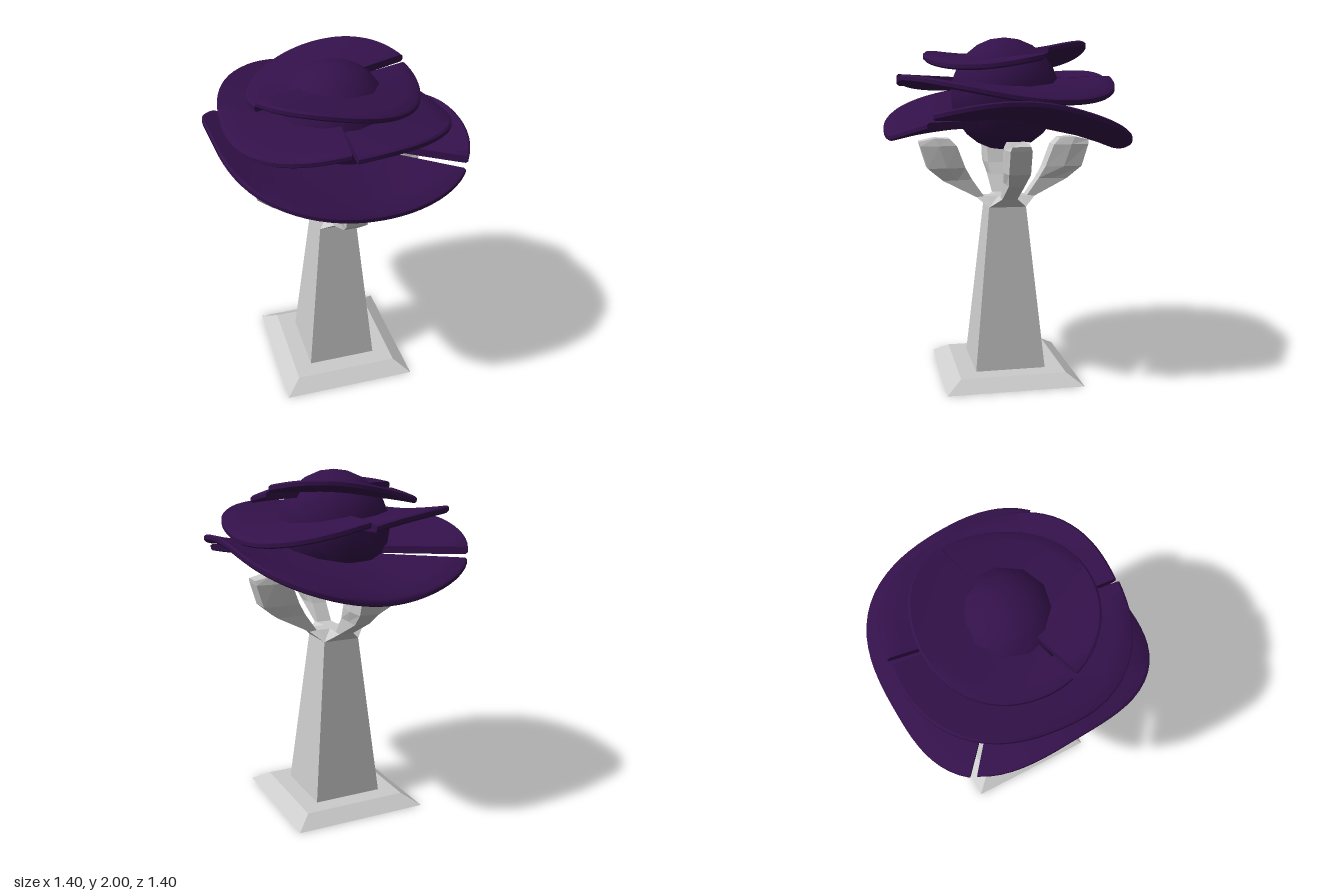
import * as THREE from 'three';
import { toCreasedNormals } from 'three/addons/utils/BufferGeometryUtils.js';

const grey = new THREE.MeshStandardMaterial({ color: 0xcccccc, flatShading: true });
const purple = new THREE.MeshStandardMaterial({ color: 0x33114a, side: THREE.DoubleSide });

function add(parent, name, geometry, material) {
  const mesh = new THREE.Mesh(geometry, material);
  mesh.name = name;
  parent.add(mesh);
  return mesh;
}

// Skin a row of equal cross-section loops and cap both ends
function loft(sections) {
  const n = sections[0].length;
  const index = [];
  for (let i = 0; i < sections.length - 1; i++) {
    for (let j = 0; j < n; j++) {
      const a = i * n + j, b = i * n + (j + 1) % n;
      index.push(a, b, b + n, a, b + n, a + n);
    }
  }
  const last = (sections.length - 1) * n;
  for (let j = 1; j < n - 1; j++) {
    index.push(0, j + 1, j, last, last + j, last + j + 1);
  }
  const geometry = new THREE.BufferGeometry();
  geometry.setAttribute('position', new THREE.Float32BufferAttribute(sections.flat(2), 3));
  geometry.setIndex(index);
  return geometry;
}

// Square block that tapers from half-width `low` to `high`
function taper(low, high, y0, y1) {
  const k = Math.SQRT2;
  return new THREE.CylinderGeometry(high * k, low * k, y1 - y0, 4)
    .rotateY(Math.PI / 4).translate(0, (y0 + y1) / 2, 0);
}

// Spoon-shaped arm: [inner x, y, half-width, outer x, y, half-width]
function armGeometry() {
  const stations = [
    [0.00, 1.08, 0.045, 0.00, 1.02, 0.11],
    [0.10, 1.08, 0.045, 0.11, 1.02, 0.11],
    [0.13, 1.08, 0.045, 0.175, 1.075, 0.045],
    [0.20, 1.18, 0.045, 0.37, 1.175, 0.045],
    [0.24, 1.25, 0.055, 0.46, 1.25, 0.06],
    [0.29, 1.38, 0.06, 0.50, 1.38, 0.06],
    [0.33, 1.42, 0.05, 0.505, 1.405, 0.05],
  ];
  return loft(stations.map(([xi, yi, wi, xo, yo, wo], i) => {
    const xm = (xi + xo) / 2, wm = (wi + wo) / 2 * (i > 3 ? 1.17 : 1);
    const ym = (yi + yo) / 2 + (i === 6 ? 0.012 : 0);
    return [[xi, yi, -wi], [xi, yi, wi], [xm, ym, wm], [xo, yo, wo], [xo, yo, -wo], [xm, ym, -wm]];
  }));
}

// Half of a wavy brim; its two halves meet at a stepped slit
function petalGeometry({ radius, power, twist, y, wave, crest, tiltX, tiltZ, slit, step }, half) {
  const sections = [], count = 40, gap = 0.025, t = 0.02;
  for (let i = 0; i <= count; i++) {
    const u = i / count;
    const a = slit + half * Math.PI + gap + u * (Math.PI - 2 * gap);
    const c = Math.cos(a), s = Math.sin(a);
    const rim = radius / Math.pow(
      Math.abs(Math.cos(a - twist)) ** power + Math.abs(Math.sin(a - twist)) ** power, 1 / power);
    const point = (r, dy) => {
      const f = r / rim;
      const h = y + f * f * wave * Math.cos(2 * (a - crest))
        + f * (tiltX * c + tiltZ * s) + step * (u - 0.5);
      return [r * c, h + dy, r * s];
    };
    const radii = [rim - 0.012, rim * 0.85, rim * 0.65, 0.2];
    sections.push([
      ...radii.map((r) => point(r, t)),
      ...radii.slice().reverse().map((r) => point(r, -t)),
      point(rim, -t * 0.5), point(rim, t * 0.5),
    ]);
  }
  return toCreasedNormals(loft(sections), 0.7);
}

export function createModel() {
  const model = new THREE.Group();
  model.name = 'flowerPedestal';

  // Stand
  add(model, 'base', taper(0.4, 0.31, 0, 0.06), grey);
  add(model, 'column', taper(0.207, 0.11, 0.06, 1.02), grey);

  // Four arms around the top of the column
  const arms = new THREE.Group();
  arms.name = 'arms';
  model.add(arms);
  const arm = armGeometry();
  for (let i = 0; i < 4; i++) add(arms, 'arm', arm, grey).rotation.y = i * Math.PI / 2;

  // Flower heart
  const heart = add(model, 'flowerHeart', new THREE.SphereGeometry(0.325, 11, 12), purple);
  heart.position.y = 1.675;

  // Three layers of petals
  const layers = [
    { name: 'lowerPetals', radius: 0.695, power: 2.9, twist: -0.06, y: 1.53, wave: 0.12, crest: -0.05,
      tiltX: -0.025, tiltZ: 0.04, slit: 0.69, step: 0.04 },
    { name: 'middlePetals', radius: 0.625, power: 2.4, twist: 0.05, y: 1.73, wave: 0.06, crest: 1.1,
      tiltX: -0.035, tiltZ: 0, slit: 1.68, step: -0.03 },
    { name: 'upperPetals', radius: 0.47, power: 2.1, twist: 0.2, y: 1.88, wave: 0.045, crest: -1.05,
      tiltX: 0.01, tiltZ: -0.02, slit: -0.3, step: 0.03 },
  ];
  for (const layer of layers) {
    const group = new THREE.Group();
    group.name = layer.name;
    model.add(group);
    for (const half of [0, 1]) add(group, 'petal', petalGeometry(layer, half), purple);
  }
  return model;
}
